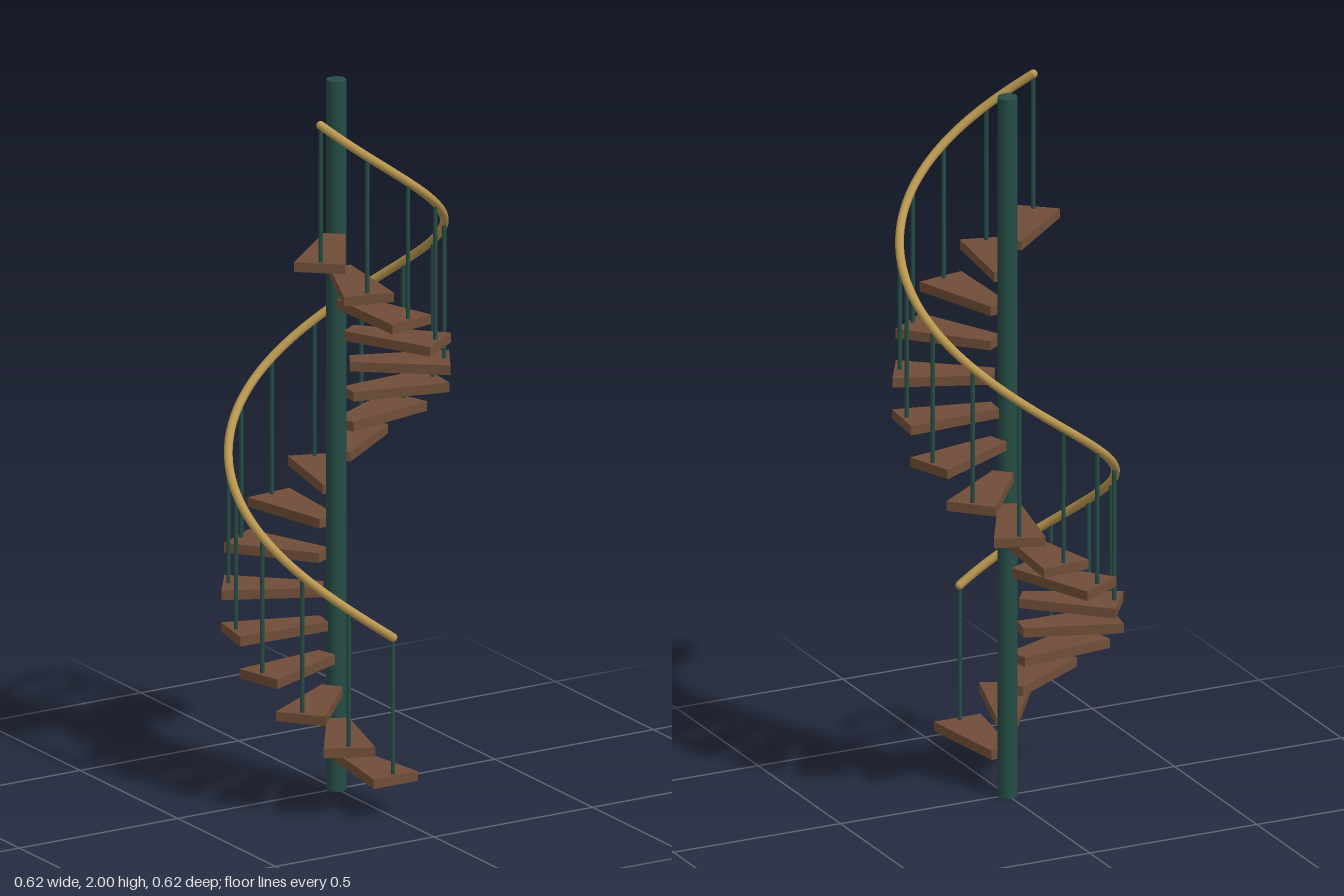
import * as THREE from 'three';

const STEPS = 17;
const TURN = THREE.MathUtils.degToRad(25); // turn per step, from the front towards -x
const RISE = 0.091;
const FIRST = 0.107;                       // mid height of the lowest tread
const RAIL_Y = 0.505;                      // start height of the handrail
const RAIL_R = 0.29;

export function createModel() {
  const staircase = new THREE.Group();
  staircase.name = 'spiralStaircase';

  const green = new THREE.MeshStandardMaterial({ color: 0x264d46 });
  const wood = new THREE.MeshStandardMaterial({ color: 0x704e38 });
  const brass = new THREE.MeshStandardMaterial({ color: 0xb8964f });

  const add = (name, geometry, material, parent = staircase) => {
    const mesh = new THREE.Mesh(geometry, material);
    mesh.name = name;
    parent.add(mesh);
    return mesh;
  };

  // Central pole
  add('centralPole', new THREE.CylinderGeometry(0.027, 0.027, 2, 32), green).position.y = 1;

  // Tapered tread, pointing towards +z before it is turned
  const thickness = 0.027;
  const outline = new THREE.Shape([
    new THREE.Vector2(-0.03, 0.036),
    new THREE.Vector2(0.03, 0.036),
    new THREE.Vector2(0.07, 0.305),
    new THREE.Vector2(-0.07, 0.305),
  ]);
  const treadGeometry = new THREE.ExtrudeGeometry(outline, { depth: thickness, bevelEnabled: false });
  treadGeometry.rotateX(Math.PI / 2).translate(0, thickness / 2, 0);

  // Baluster from just below the tread up to the handrail
  const foot = -0.018;
  const height = RAIL_Y - FIRST - foot;
  const balusterGeometry = new THREE.CylinderGeometry(0.006, 0.006, height, 10);
  balusterGeometry.translate(0, foot + height / 2, RAIL_R);

  for (let i = 0; i < STEPS; i++) {
    const step = new THREE.Group();
    step.name = `step${i + 1}`;
    step.position.y = FIRST + i * RISE;
    step.rotation.y = -i * TURN;
    add('tread', treadGeometry, wood, step);
    add('baluster', balusterGeometry, green, step);
    staircase.add(step);
  }

  // Helical handrail with rounded ends
  class Helix extends THREE.Curve {
    getPoint(t, target = new THREE.Vector3()) {
      const s = t * (STEPS - 1);
      return target.set(-Math.sin(s * TURN) * RAIL_R, RAIL_Y + s * RISE, Math.cos(s * TURN) * RAIL_R);
    }
  }
  const helix = new Helix();
  add('handrail', new THREE.TubeGeometry(helix, 160, 0.012, 12), brass);
  for (const t of [0, 1]) {
    add('handrailEnd', new THREE.SphereGeometry(0.012, 16, 12), brass).position.copy(helix.getPoint(t));
  }

  return staircase;
}
